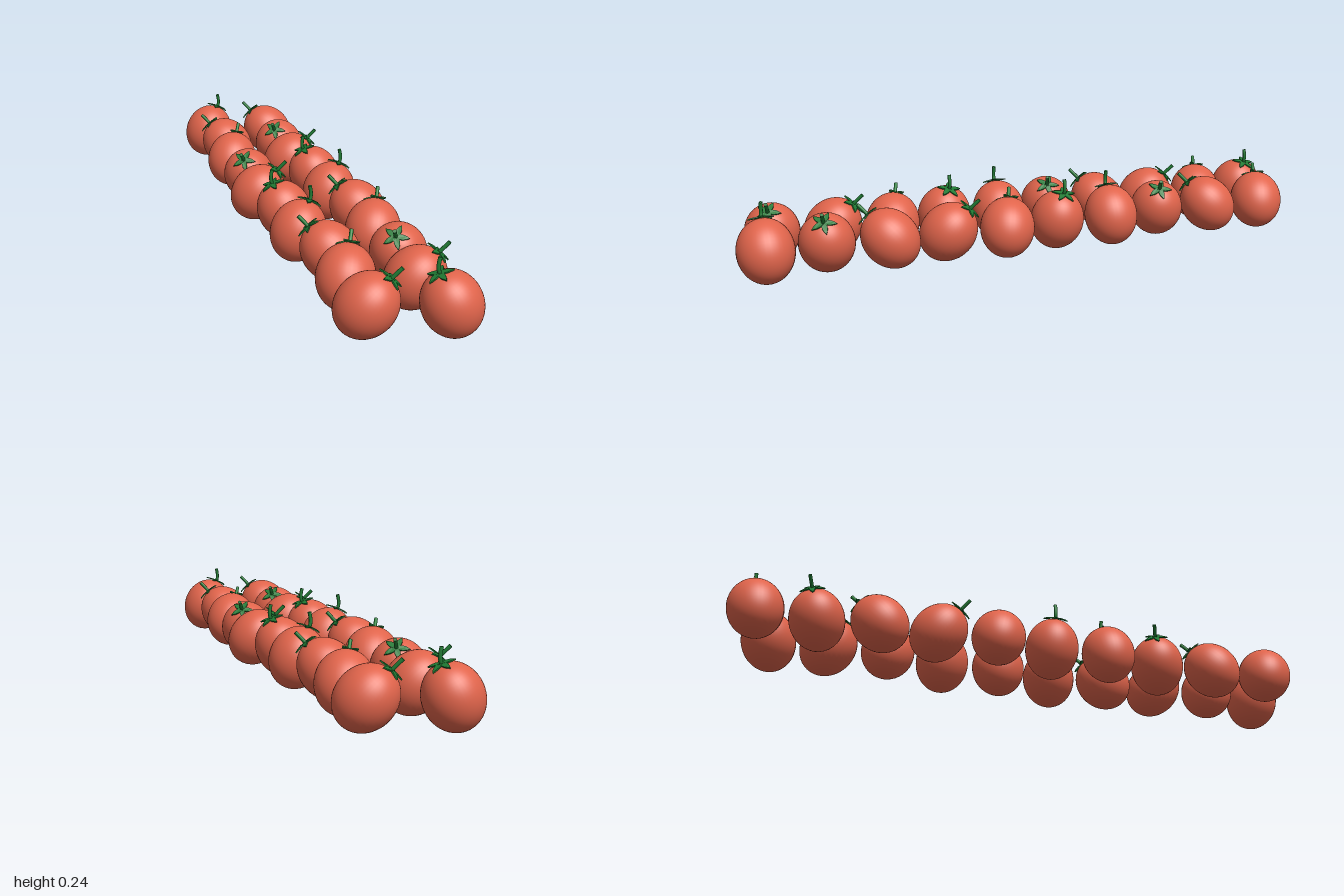
import * as THREE from 'three';
import { mergeGeometries } from 'three/addons/utils/BufferGeometryUtils.js';

const RADIUS = 0.089, HALF_HEIGHT = 0.102;

// Six resting poses: direction the stem end leans (x, z) and how the stem bends
const POSES = {
  A: { x: 0.041, z: -0.005, bend: -0.02 },
  B: { x: -0.06, z: -0.03, bend: 0.002 },
  C: { x: 0.036, z: -0.059, bend: 0.002 },
  D: { x: -0.037, z: 0.06, bend: 0.002 },
  E: { x: 0.061, z: 0.025, bend: 0.002 },
  F: { x: -0.041, z: -0.001, bend: -0.02 },
};

// Two rows, back to front: pose order, x of each fruit, z of the first fruit
const ROWS = [
  { name: 'rightRow', poses: 'ABCDEFABCE', startZ: -0.915, endZ: 0.836,
    xs: [-0.093, -0.072, -0.111, -0.106, -0.135, -0.106, -0.127, -0.093, -0.122, -0.14] },
  { name: 'leftRow', poses: 'BDEFABCDEF', startZ: -0.845, endZ: 0.908,
    xs: [0.135, 0.117, 0.092, 0.119, 0.1, 0.129, 0.1, 0.1, 0.064, 0.085] },
];

// Height of the fruit's skin at distance r from its axis
const skin = (r) => HALF_HEIGHT * Math.sqrt(Math.max(0, 1 - (r / RADIUS) ** 2));

// Five pointed leaves draped over the fruit, tips curling up
function calyxGeometry() {
  const shape = new THREE.Shape();
  shape.moveTo(-0.003, -0.004);
  shape.bezierCurveTo(0.006, -0.006, 0.018, -0.016, 0.042, 0);
  shape.bezierCurveTo(0.018, 0.016, 0.006, 0.006, -0.003, 0.004);
  const leaves = [];
  for (let i = 0; i < 5; i++) {
    const leaf = new THREE.ExtrudeGeometry(shape, { depth: 0.004, bevelEnabled: false, curveSegments: 8 });
    leaf.rotateX(-Math.PI / 2);
    const p = leaf.attributes.position;
    for (let k = 0; k < p.count; k++) {
      const r = Math.hypot(p.getX(k), p.getZ(k));
      p.setY(k, p.getY(k) + skin(r) + 0.001 + 0.007 * (r / 0.042) ** 2);
    }
    leaf.computeVertexNormals();
    leaf.rotateY((i * Math.PI * 2) / 5 + 0.3);
    leaves.push(leaf);
  }
  return mergeGeometries(leaves);
}

// Curved stem with a flat cut end
function stemGeometry(bend) {
  const base = HALF_HEIGHT - 0.004;
  const curve = new THREE.CatmullRomCurve3([
    new THREE.Vector3(0, base, 0),
    new THREE.Vector3(bend * 0.1, base + 0.018, 0),
    new THREE.Vector3(bend * 0.45, base + 0.034, 0),
    new THREE.Vector3(bend, base + 0.05, 0),
  ]);
  const tube = new THREE.TubeGeometry(curve, 10, 0.006, 10);
  const cap = new THREE.CircleGeometry(0.006, 10);
  cap.applyQuaternion(new THREE.Quaternion().setFromUnitVectors(
    new THREE.Vector3(0, 0, 1), curve.getTangent(1)));
  const tip = curve.getPoint(1);
  cap.translate(tip.x, tip.y, tip.z);
  return mergeGeometries([tube, cap]);
}

export function createModel() {
  const red = new THREE.MeshStandardMaterial({ color: 0xe0644b });
  red.name = 'tomatoRed';
  const green = new THREE.MeshStandardMaterial({ color: 0x1f7a33 });
  green.name = 'leafGreen';

  const fruit = new THREE.SphereGeometry(1, 40, 28).scale(RADIUS, HALF_HEIGHT, RADIUS);
  const calyx = calyxGeometry();
  const stems = {};
  for (const key in POSES) stems[key] = stemGeometry(POSES[key].bend);

  const add = (parent, name, geometry, material) => {
    const mesh = new THREE.Mesh(geometry, material);
    mesh.name = name;
    parent.add(mesh);
  };

  const model = new THREE.Group();
  model.name = 'tomatoes';
  for (const row of ROWS) {
    const rowGroup = new THREE.Group();
    rowGroup.name = row.name;
    row.xs.forEach((x, i) => {
      const key = row.poses[i], pose = POSES[key];
      const tomato = new THREE.Group();
      tomato.name = 'tomato';
      add(tomato, 'fruit', fruit, red);
      add(tomato, 'calyx', calyx, green);
      add(tomato, 'stem', stems[key], green);
      // Lean the stem end towards the pose direction
      tomato.rotation.order = 'YZX';
      tomato.rotation.y = Math.atan2(-pose.z, pose.x);
      tomato.rotation.z = -Math.asin(Math.hypot(pose.x, pose.z) / HALF_HEIGHT);
      tomato.position.set(x, 0.101, row.startZ + ((row.endZ - row.startZ) * i) / 9);
      rowGroup.add(tomato);
    });
    model.add(rowGroup);
  }
  return model;
}
